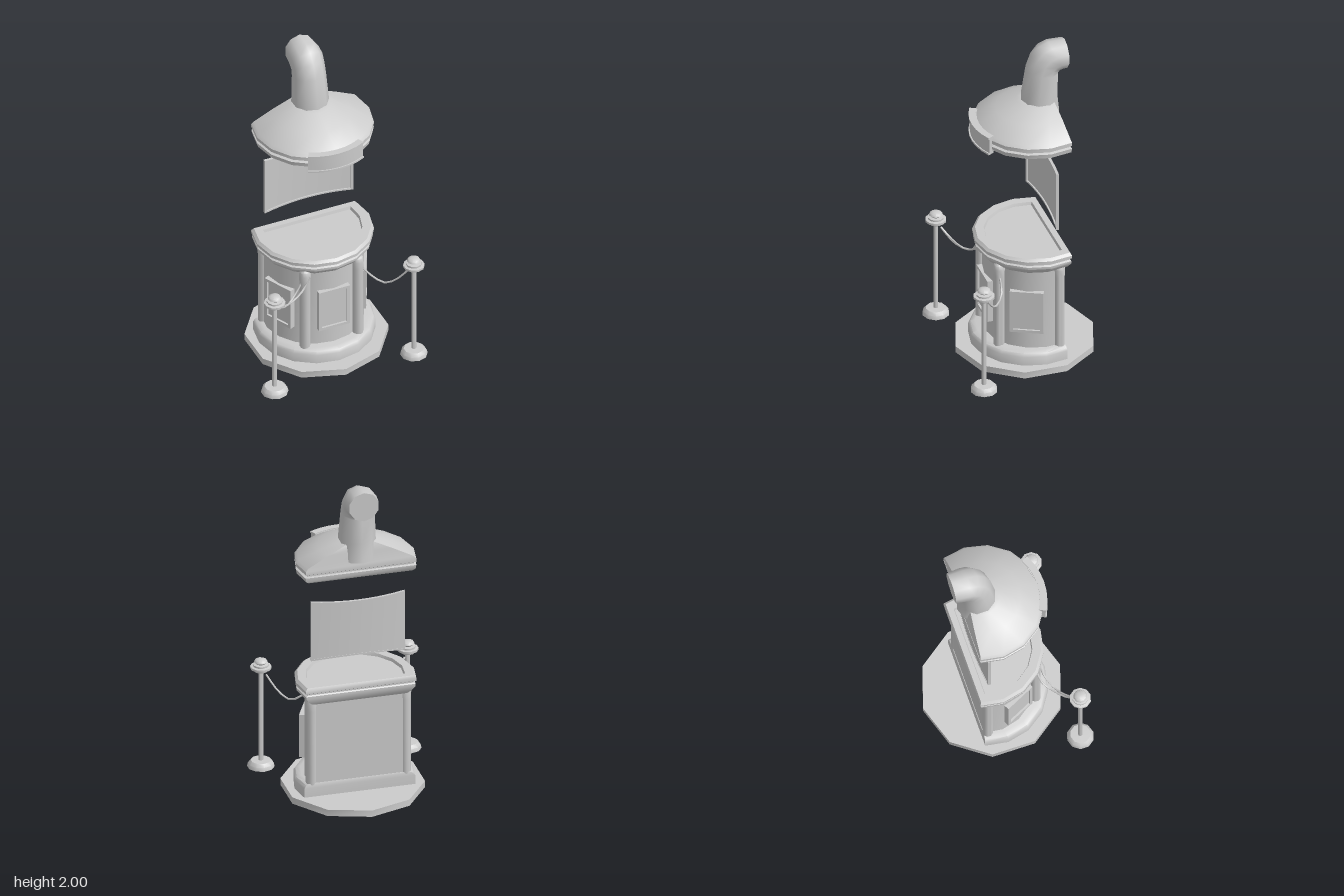
import * as THREE from 'three';
import { toCreasedNormals } from 'three/addons/utils/BufferGeometryUtils.js';

const CZ = -0.085; // centre of the rounded front, in z

export function createModel() {
  const model = new THREE.Group();
  const material = new THREE.MeshStandardMaterial({ color: 0xcccccc, side: THREE.DoubleSide });

  function add(name, geometry, parent = model, crease = 0.7) {
    const mesh = new THREE.Mesh(toCreasedNormals(geometry, crease), material);
    mesh.name = name;
    parent.add(mesh);
    return mesh;
  }

  // Skin over closed rings of equal length, capped at both ends
  function loft(rings) {
    const n = rings[0].length, pos = [], index = [];
    rings.forEach(r => r.forEach(p => pos.push(p.x, p.y, p.z)));
    for (let i = 0; i < rings.length - 1; i++) {
      for (let j = 0; j < n; j++) {
        const k = (j + 1) % n, a = i * n + j, b = i * n + k;
        index.push(a, b, b + n, a, b + n, a + n);
      }
    }
    [0, rings.length - 1].forEach(i => {
      const c = new THREE.Vector3();
      rings[i].forEach(p => c.addScaledVector(p, 1 / n));
      const id = pos.length / 3;
      pos.push(c.x, c.y, c.z);
      for (let j = 0; j < n; j++) {
        const a = i * n + j, b = i * n + (j + 1) % n;
        index.push(id, i ? a : b, i ? b : a);
      }
    });
    const g = new THREE.BufferGeometry();
    g.setAttribute('position', new THREE.Float32BufferAttribute(pos, 3));
    g.setIndex(index);
    return g;
  }

  // Round-fronted, flat-backed outline
  function dRing([radius, y, back, cz = CZ]) {
    const limit = Math.acos(THREE.MathUtils.clamp((back - cz) / radius, -0.98, 1));
    return Array.from({ length: 11 }, (_, i) => {
      const a = -limit + 2 * limit * i / 10;
      return new THREE.Vector3(radius * Math.sin(a), y, cz + radius * Math.cos(a));
    });
  }
  const dLoft = profile => loft(profile.map(dRing));

  // Ten-sided floor plate
  const plate = add('floorPlate', new THREE.CylinderGeometry(0.413, 0.413, 0.04, 10));
  plate.position.set(0, 0.04, -0.03);

  // Kiosk body: plinth, wall, counter with sunken top
  add('plinth', dLoft([
    [0.35, 0.055, -0.18, -0.06], [0.35, 0.115, -0.18, -0.06],
    [0.338, 0.133, -0.178, -0.06], [0.31, 0.142, -0.175, -0.06]]));
  add('bodyWall', dLoft([[0.295, 0.06, -0.172], [0.295, 0.68, -0.172]]));
  add('counter', dLoft([
    [0.295, 0.645, -0.18], [0.32, 0.665, -0.195], [0.345, 0.695, -0.205], [0.345, 0.71, -0.205],
    [0.334, 0.716, -0.198], [0.334, 0.724, -0.198], [0.35, 0.73, -0.208], [0.35, 0.748, -0.208],
    [0.335, 0.763, -0.2], [0.285, 0.763, -0.165], [0.28, 0.745, -0.16]]));

  // Round pillars around the body
  const pillarProfile = [[0, 0.13], [0.032, 0.13], [0.032, 0.6], [0.035, 0.645], [0.03, 0.67], [0.015, 0.685], [0, 0.687]]
    .map(p => new THREE.Vector2(...p));
  for (const side of [-1, 1]) {
    [[0.165, 0.177], [0.278, -0.148]].forEach(([x, z]) => {
      add('pillar', new THREE.LatheGeometry(pillarProfile, 10)).position.set(side * x, 0, z);
    });
  }

  // Framed panels between the pillars
  const rect = (Type, w, h) => new Type().setFromPoints([[-w, -h], [w, -h], [w, h], [-w, h]].map(p => new THREE.Vector2(...p)));
  for (const angle of [-1.12, 0, 1.12]) {
    const panel = new THREE.Group();
    panel.name = 'wallPanel';
    const shape = rect(THREE.Shape, 0.097, 0.135);
    shape.holes.push(rect(THREE.Path, 0.078, 0.118));
    add('panelFrame', new THREE.ExtrudeGeometry(shape, { depth: 0.035, bevelEnabled: false }), panel).position.z = 0.274;
    add('panelInset', new THREE.BoxGeometry(0.16, 0.24, 0.01), panel).position.z = 0.292;
    panel.rotation.y = angle;
    panel.position.set(0, 0.385, CZ);
    model.add(panel);
  }

  // Curved display: sides come forward, top and bottom edges draw in at the middle
  const display = new THREE.Group();
  display.name = 'display';
  display.position.set(0, 1.0925, -0.16);
  model.add(display);
  function bentBox(name, w, h, d, x, y, z) {
    const g = new THREE.BoxGeometry(w, h, d, w > 0.1 ? 10 : 1, 1, 1).translate(x, y, z);
    const p = g.attributes.position;
    for (let i = 0; i < p.count; i++) {
      const t = (p.getX(i) / 0.28) ** 2;
      p.setY(i, p.getY(i) * (0.92 + 0.08 * t));
      p.setZ(i, p.getZ(i) + 0.02 * t);
    }
    add(name, g, display);
  }
  bentBox('screen', 0.54, 0.36, 0.006, 0, 0, 0);
  for (const s of [-1, 1]) {
    bentBox('sideFrame', 0.016, 0.375, 0.016, s * 0.27, 0, 0.003);
    bentBox('edgeFrame', 0.55, 0.01, 0.016, 0, s * 0.1825, 0.003);
  }

  // Hood with grooved rim and recessed underside
  add('hood', dLoft([
    [0.27, 1.455, -0.15], [0.285, 1.43, -0.165], [0.325, 1.43, -0.195], [0.345, 1.442, -0.205],
    [0.35, 1.468, -0.208], [0.335, 1.474, -0.198], [0.335, 1.482, -0.198], [0.35, 1.488, -0.208],
    [0.35, 1.508, -0.208], [0.335, 1.525, -0.203], [0.22, 1.588, -0.195],
    [0.118, 1.637, -0.185, -0.105], [0.09, 1.645, -0.18, -0.105]]));

  // Curved sign on the hood front, with raised lips
  function arcBand(r0, r1, y, height) {
    const a = Math.PI / 2, w = 0.49, shape = new THREE.Shape();
    for (let i = 0; i <= 6; i++) {
      const t = a - w + 2 * w * i / 6;
      shape[i ? 'lineTo' : 'moveTo'](r1 * Math.cos(t), r1 * Math.sin(t));
    }
    for (let i = 6; i >= 0; i--) {
      const t = a - w + 2 * w * i / 6;
      shape.lineTo(r0 * Math.cos(t), r0 * Math.sin(t));
    }
    return new THREE.ExtrudeGeometry(shape, { depth: height, bevelEnabled: false })
      .rotateX(Math.PI / 2).translate(0, y + height, CZ);
  }
  add('signPanel', arcBand(0.325, 0.364, 1.43, 0.1));
  add('signLip', arcBand(0.33, 0.371, 1.421, 0.011));
  add('signLip', arcBand(0.33, 0.371, 1.524, 0.011));

  // Chimney pipe bending to the back: y, z, radius, tilt
  const pipe = [[1.535, -0.122, 0.117, 0], [1.65, -0.118, 0.109, 0], [1.82, -0.135, 0.098, 0.14],
    [1.866, -0.15, 0.097, 0.6], [1.897, -0.175, 0.099, 0.92], [1.91, -0.212, 0.097, 1.17], [1.91, -0.272, 0.09, Math.PI / 2]];
  add('chimneyPipe', loft(pipe.map(([y, z, r, tilt]) => Array.from({ length: 10 }, (_, i) => {
    const a = i * Math.PI / 5, f = r * Math.cos(a);
    return new THREE.Vector3(Math.min(r, 0.108) * Math.sin(a), y + f * Math.sin(tilt), z + f * Math.cos(tilt));
  }))), model, 0.9);

  // Barrier posts
  const postProfile = [[0, 0.005], [0.013, 0.005], [0.013, 0.02], [0.079, 0.02], [0.074, 0.042], [0.058, 0.06], [0.014, 0.062],
    [0.014, 0.625], [0.04, 0.627], [0.044, 0.642], [0.062, 0.644], [0.062, 0.657], [0.046, 0.66], [0.046, 0.67],
    [0.026, 0.673], [0.04, 0.685], [0.034, 0.696], [0.018, 0.703], [0, 0.704]].map(p => new THREE.Vector2(...p));
  for (const s of [-1, 1]) {
    add('barrierPost', new THREE.LatheGeometry(postProfile, 10)).position.set(s * 0.435, 0, 0.357);
  }

  // Sagging ropes from posts to pillars
  const ropes = [
    [[0.41, 0.61, 0.335], [0.36, 0.53, 0.29], [0.305, 0.485, 0.24], [0.25, 0.515, 0.19], [0.185, 0.6, 0.18]],
    [[-0.41, 0.61, 0.335], [-0.36, 0.545, 0.29], [-0.3, 0.52, 0.245], [-0.235, 0.535, 0.195], [-0.18, 0.61, 0.18]],
    [[-0.41, 0.61, 0.335], [-0.35, 0.555, 0.29], [-0.285, 0.53, 0.25], [-0.2, 0.56, 0.215], [-0.145, 0.64, 0.205]]];
  for (const points of ropes) {
    const curve = new THREE.CatmullRomCurve3(points.map(p => new THREE.Vector3(...p)));
    add('rope', new THREE.TubeGeometry(curve, 8, 0.006, 6), model, 1.2);
  }

  return model;
}
